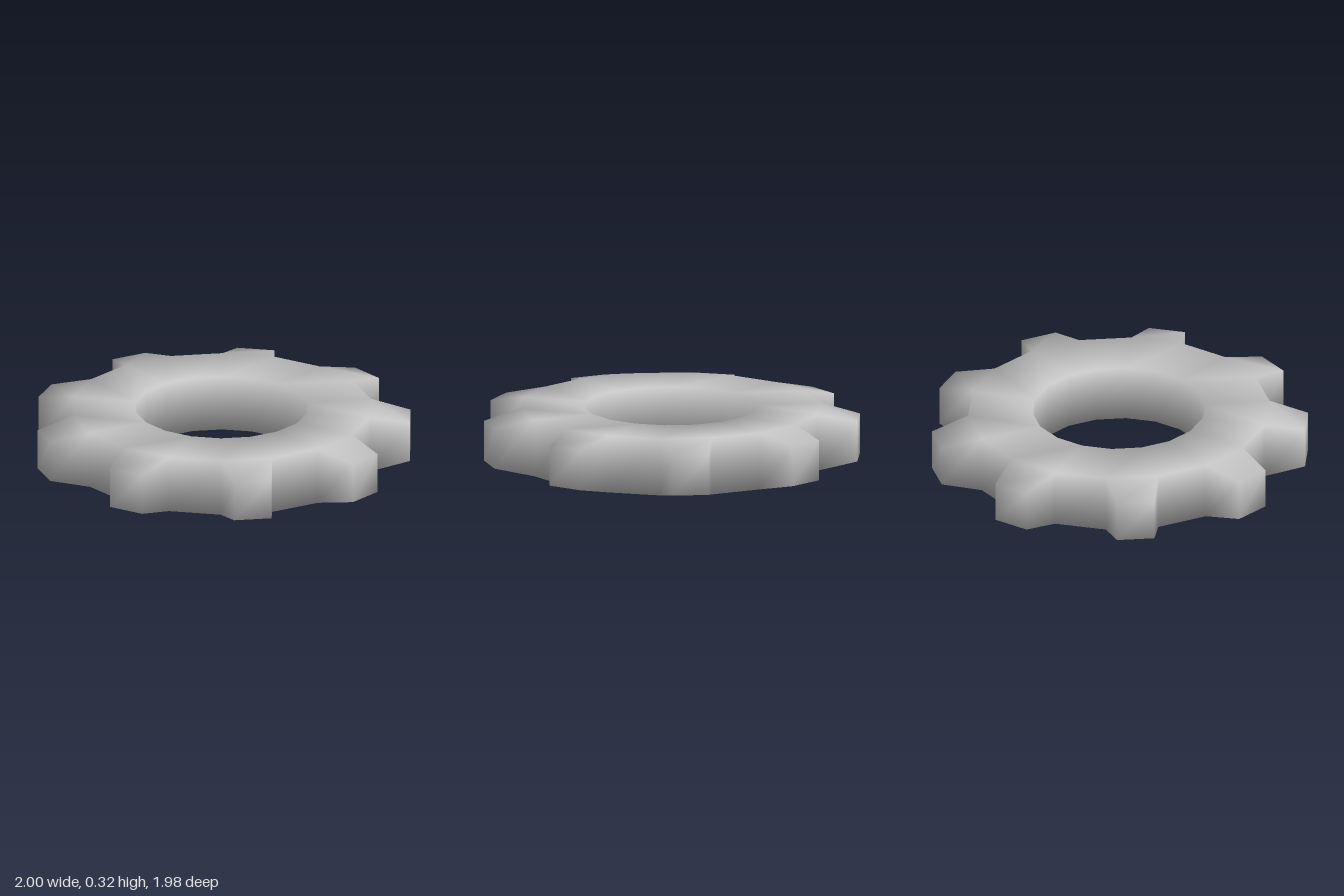
import * as THREE from 'three';

const TEETH = 9;
const COLUMNS = TEETH * 2;
const DEG = Math.PI / 180;

// Smooth toothed ring: a square-section ring whose every second outer face is drawn out into a tapered tooth
function gearGeometry() {
  const positions = [];
  const index = [];

  // Adds a point by radius, angle and height from the middle; the ring leans very slightly
  const point = (r, degrees, h) => {
    const x = r * Math.cos(degrees * DEG) - 0.005;
    const z = r * Math.sin(degrees * DEG) - 0.012;
    positions.push(x, 0.159 + h + 0.0085 * z, z);
    return positions.length / 3 - 1;
  };
  const quad = (a, b, c, d) => index.push(a, b, c, a, c, d);

  // Ring cross-sections: inner top, outer top, outer bottom, inner bottom
  const columns = [];
  for (let i = 0; i < COLUMNS; i++) {
    const a = 6.9 + (i - 0.5) * 20;
    columns.push([point(0.459, a, 0.15), point(0.8, a, 0.153), point(0.8, a, -0.153), point(0.459, a, -0.15)]);
  }

  for (let i = 0; i < COLUMNS; i++) {
    const p = columns[i];
    const q = columns[(i + 1) % COLUMNS];
    quad(p[0], q[0], q[1], p[1]); // top
    quad(p[2], q[2], q[3], p[3]); // underside
    quad(p[3], q[3], q[0], p[0]); // hole wall
    if (i % 2) {
      quad(p[1], q[1], q[2], p[2]); // gap between teeth
      continue;
    }
    // Tooth
    const mid = 6.9 + i * 20;
    const [pt, pb, qt, qb] = [[-5.7, 0.108], [-5.7, -0.108], [5.7, 0.108], [5.7, -0.108]]
      .map(([da, h]) => point(1.002, mid + da, h));
    quad(p[1], q[1], qt, pt);
    quad(pt, qt, qb, pb);
    quad(pb, qb, q[2], p[2]);
    quad(p[1], pt, pb, p[2]);
    quad(q[2], qb, qt, q[1]);
  }

  const geometry = new THREE.BufferGeometry();
  geometry.setAttribute('position', new THREE.Float32BufferAttribute(positions, 3));
  geometry.setIndex(index);
  geometry.computeVertexNormals();
  return geometry;
}

export function createModel() {
  const grey = new THREE.MeshStandardMaterial({ color: 0xc4c4c4 });
  grey.name = 'light grey';

  const gear = new THREE.Mesh(gearGeometry(), grey);
  gear.name = 'toothedRing';

  const model = new THREE.Group();
  model.name = 'gear';
  model.add(gear);
  return model;
}
